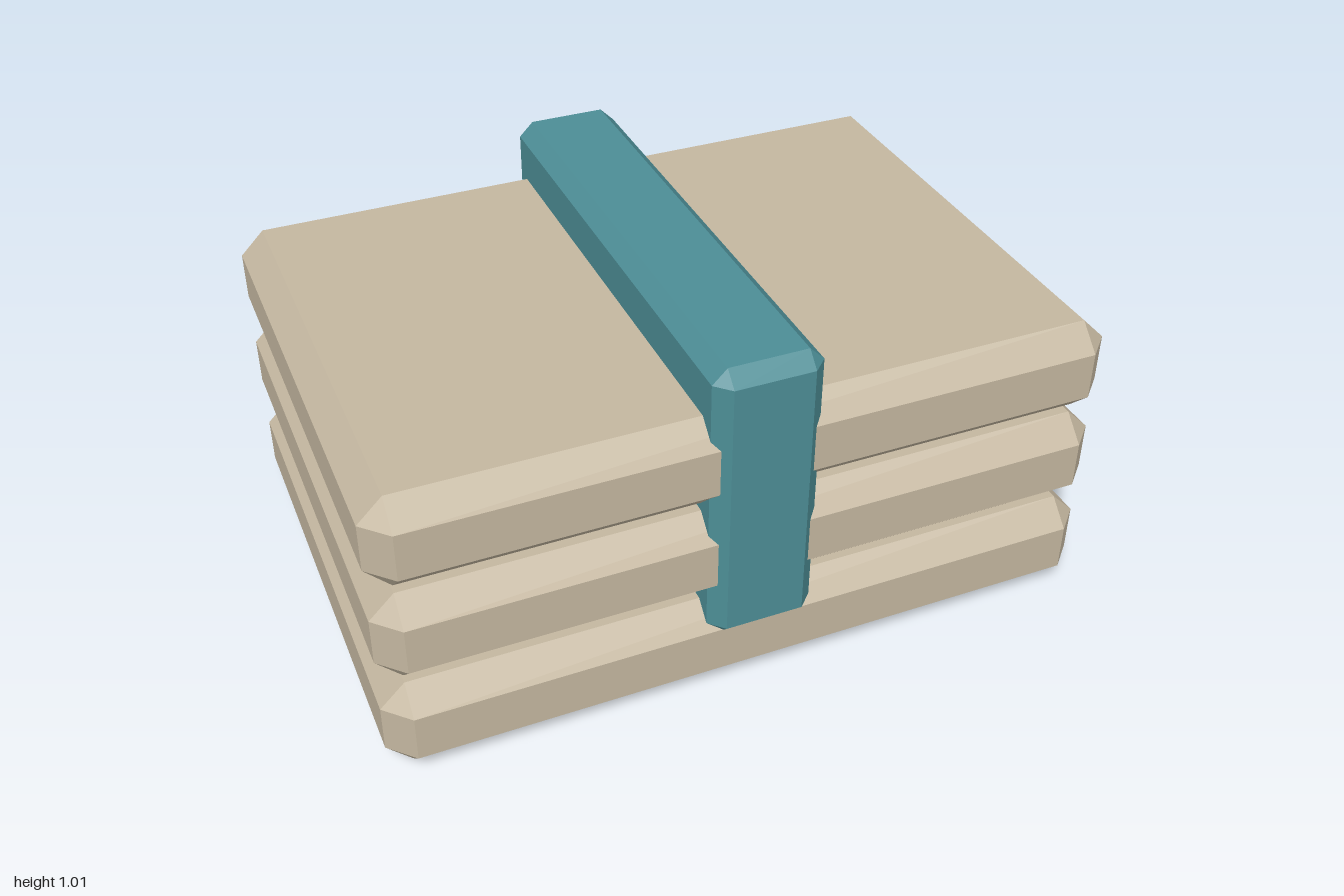
import * as THREE from 'three';
import { ConvexGeometry } from 'three/addons/geometries/ConvexGeometry.js';

// Box with every edge bevelled at 45 degrees, centred on its own origin
function bevelledBox(width, height, depth, bevel) {
  const points = [];
  for (const sx of [-1, 1]) for (const sy of [-1, 1]) for (const sz of [-1, 1]) {
    const outer = [sx * width / 2, sy * height / 2, sz * depth / 2];
    const inner = [outer[0] - sx * bevel, outer[1] - sy * bevel, outer[2] - sz * bevel];
    for (let axis = 0; axis < 3; axis++) {
      const p = [...inner];
      p[axis] = outer[axis];
      points.push(new THREE.Vector3(...p));
    }
  }
  return new ConvexGeometry(points);
}

export function createModel() {
  const model = new THREE.Group();
  model.name = 'strappedStack';

  const tan = new THREE.MeshStandardMaterial({ color: 0xc4b7a0, flatShading: true });
  tan.name = 'tan';
  const teal = new THREE.MeshStandardMaterial({ color: 0x4d8e96, flatShading: true });
  teal.name = 'teal';

  // Three stacked slabs with narrow gaps
  const slabHeight = 0.268, pitch = 0.2925;
  const slabGeometry = bevelledBox(2, slabHeight, 1.414, 0.067);
  ['bottomSlab', 'middleSlab', 'topSlab'].forEach((name, i) => {
    const slab = new THREE.Mesh(slabGeometry, tan);
    slab.name = name;
    slab.position.y = slabHeight / 2 + i * pitch;
    model.add(slab);
  });

  // Band around the stack, its foot sunk into the bottom slab
  const bandBottom = 0.18, bandTop = 1.01;
  const band = new THREE.Mesh(bevelledBox(0.294, bandTop - bandBottom, 1.454, 0.04), teal);
  band.name = 'band';
  band.position.y = (bandBottom + bandTop) / 2;
  model.add(band);

  return model;
}
